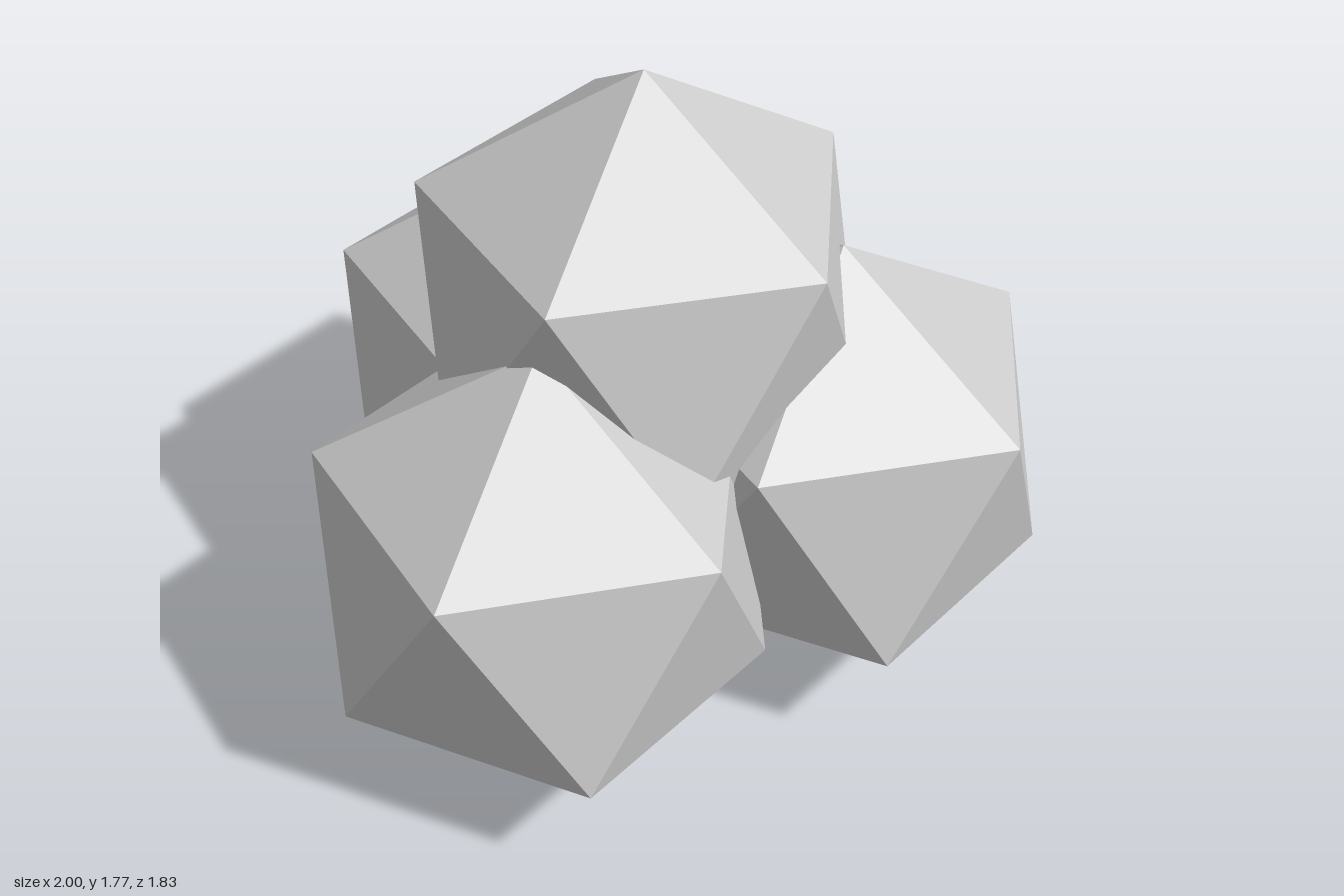
import * as THREE from 'three';

const RADIUS = 0.633;

export function createModel() {
  const group = new THREE.Group();
  group.name = 'boulderPile';
  const material = new THREE.MeshStandardMaterial({ color: 0xcccccc, flatShading: true });

  // Icosahedron turned to stand on one corner, with an upper ring corner towards +x
  const boulder = new THREE.IcosahedronGeometry(RADIUS, 0);
  boulder.rotateZ(-Math.atan(2 / (1 + Math.sqrt(5))));

  // Three boulders in a triangle on the ground, one resting on top
  const places = {
    frontLeftBoulder: [0.434, RADIUS, 0.376],
    frontRightBoulder: [-0.434, RADIUS, 0.376],
    backBoulder: [0, RADIUS, -0.376],
    topBoulder: [0, RADIUS + 0.504, 0.125],
  };
  for (const [name, position] of Object.entries(places)) {
    const mesh = new THREE.Mesh(boulder, material);
    mesh.name = name;
    mesh.position.set(...position);
    group.add(mesh);
  }
  return group;
}
